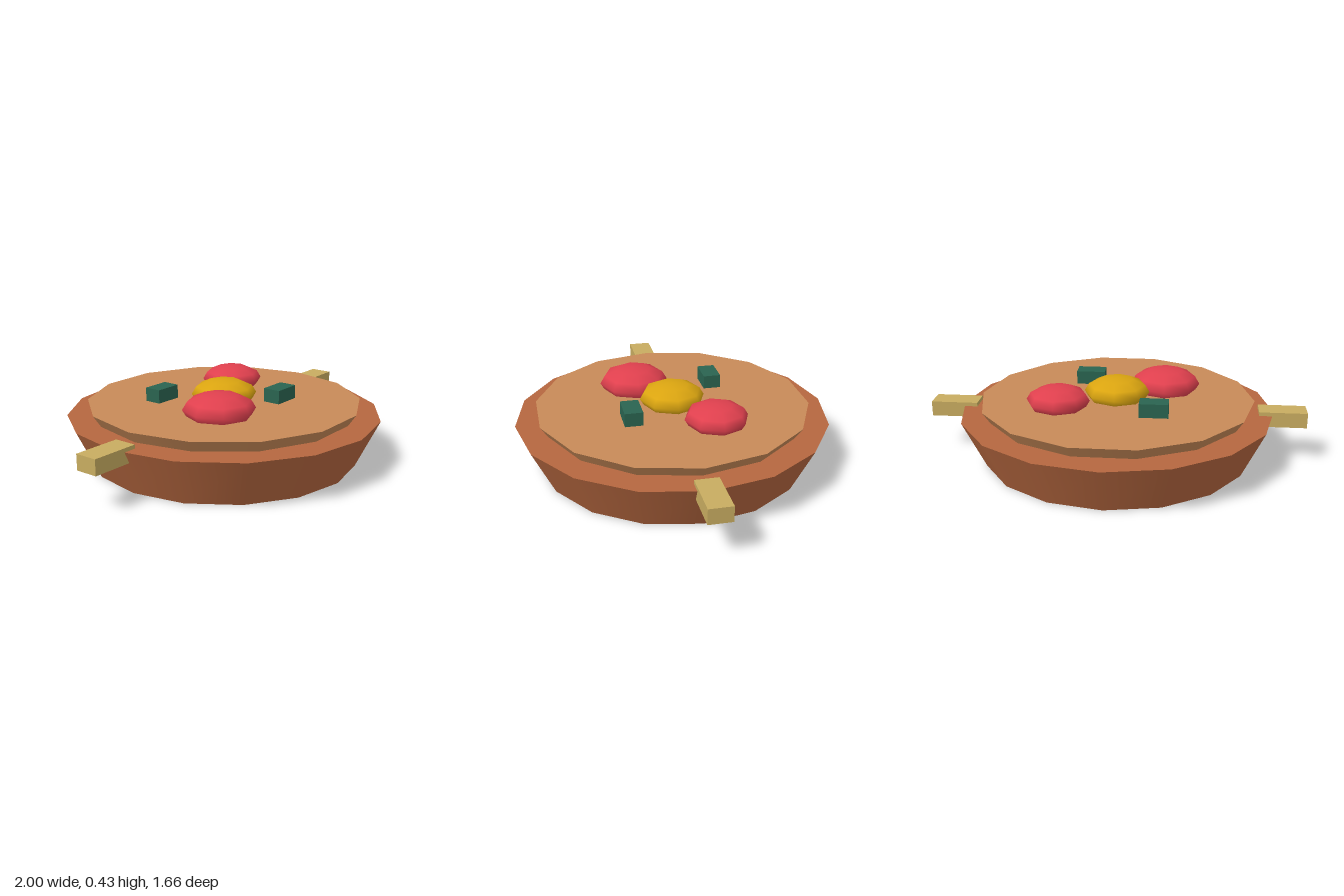
import * as THREE from 'three';

const paint = (name, color) => {
  const m = new THREE.MeshStandardMaterial({ color });
  m.name = name;
  return m;
};

export function createModel() {
  const group = new THREE.Group();
  const terracotta = paint('terracotta', 0xb5673f);
  const crust = paint('crust', 0xc88a58);
  const wood = paint('wood', 0xc8ac60);
  const red = paint('red', 0xe0404e);
  const yellow = paint('yellow', 0xdba510);
  const green = paint('green', 0x2a6450);

  const add = (name, geometry, material, x, y, z) => {
    const mesh = new THREE.Mesh(geometry, material);
    mesh.name = name;
    mesh.position.set(x, y, z);
    group.add(mesh);
    return mesh;
  };

  // Flared dish and the filling that stands a little above its rim
  add('dish', new THREE.CylinderGeometry(0.83, 0.71, 0.25, 16), terracotta, 0, 0.125, 0);
  const filling = add('filling', new THREE.CylinderGeometry(0.727, 0.66, 0.1, 14), crust, 0, 0.26, 0);
  filling.rotation.y = Math.PI / 2;

  // Side handles
  for (const [name, side] of [['leftHandle', 1], ['rightHandle', -1]]) {
    add(name, new THREE.BoxGeometry(0.25, 0.08, 0.12), wood, side * 0.875, 0.23, 0);
  }

  // Flattened round toppings
  const toppings = [
    ['largeRedTopping', red, 0.186, -0.25, 0.163],
    ['yellowTopping', yellow, 0.173, 0, 0],
    ['smallRedTopping', red, 0.165, 0.29, -0.167],
  ];
  for (const [name, material, radius, x, z] of toppings) {
    const topping = add(name, new THREE.SphereGeometry(radius, 8, 6), material, x, 0.343, z);
    topping.scale.y = 0.45;
  }

  // Green garnish blocks
  add('frontGarnish', new THREE.BoxGeometry(0.155, 0.08, 0.095), green, 0.165, 0.342, 0.245);
  add('backGarnish', new THREE.BoxGeometry(0.148, 0.08, 0.092), green, -0.21, 0.342, -0.255);

  return group;
}
